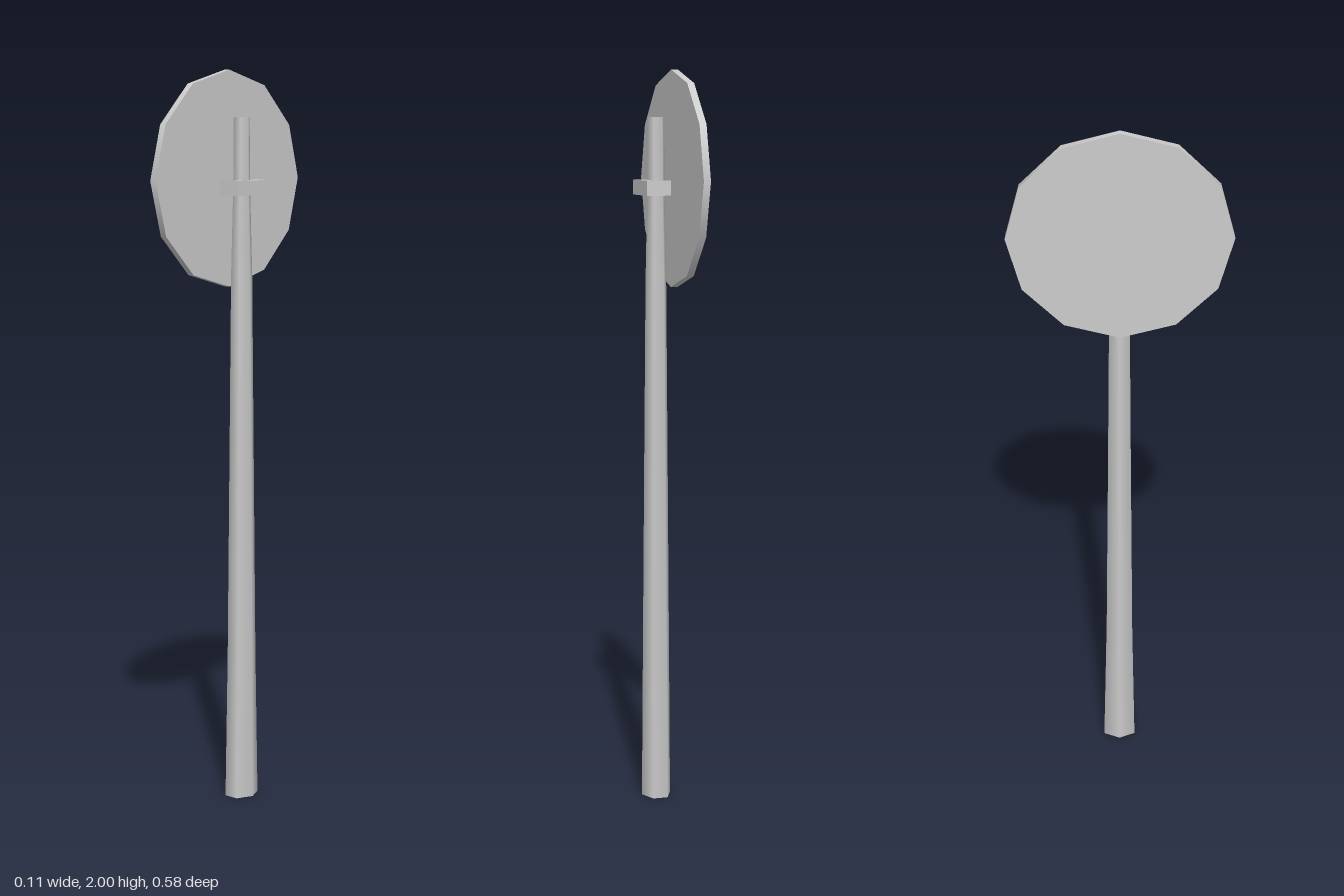
import * as THREE from 'three';

const material = () => new THREE.MeshStandardMaterial({ color: 0xcccccc });

function addPart(group, name, geometry, x, y, z) {
  const mesh = new THREE.Mesh(geometry, material());
  mesh.name = name;
  mesh.position.set(x, y, z);
  group.add(mesh);
}

// Six-sided pole whose rings follow [height, half width, half depth], base to tip
function poleGeometry() {
  const rings = [
    [0, 0.041, 0.045], [0.4, 0.038, 0.037], [1.0, 0.033, 0.031],
    [1.45, 0.029, 0.027], [1.68, 0.024, 0.021], [1.875, 0.023, 0.019],
  ];
  const steps = rings.length - 1;
  const geometry = new THREE.CylinderGeometry(1, 1, steps, 6, steps, false, Math.PI / 6);
  const pos = geometry.attributes.position;
  for (let i = 0; i < pos.count; i++) {
    const [y, halfX, halfZ] = rings[Math.round(pos.getY(i) + steps / 2)];
    pos.setXYZ(i, pos.getX(i) * halfX, y, pos.getZ(i) * halfZ / Math.cos(Math.PI / 6));
  }
  return geometry;
}

// U-shaped clamp, open toward the disc
function bracketGeometry() {
  const outer = 0.0675, inner = 0.044, open = -0.014, web = 0.03, back = 0.052;
  const shape = new THREE.Shape([
    [open, -outer], [back, -outer], [back, outer], [open, outer],
    [open, inner], [web, inner], [web, -inner], [open, -inner],
  ].map(([x, z]) => new THREE.Vector2(x, z)));
  return new THREE.ExtrudeGeometry(shape, { depth: 0.04, bevelEnabled: false })
    .rotateX(-Math.PI / 2);
}

export function createModel() {
  const model = new THREE.Group();
  model.name = 'roundSignOnPole';

  addPart(model, 'pole', poleGeometry(), 0.007, 0, -0.001);
  addPart(model, 'bracket', bracketGeometry(), 0, 1.668, -0.002);

  // Twelve-sided disc facing sideways
  const disc = new THREE.CylinderGeometry(0.29, 0.29, 0.019, 12).rotateZ(Math.PI / 2);
  addPart(model, 'signDisc', disc, -0.045, 1.71, 0);

  return model;
}
